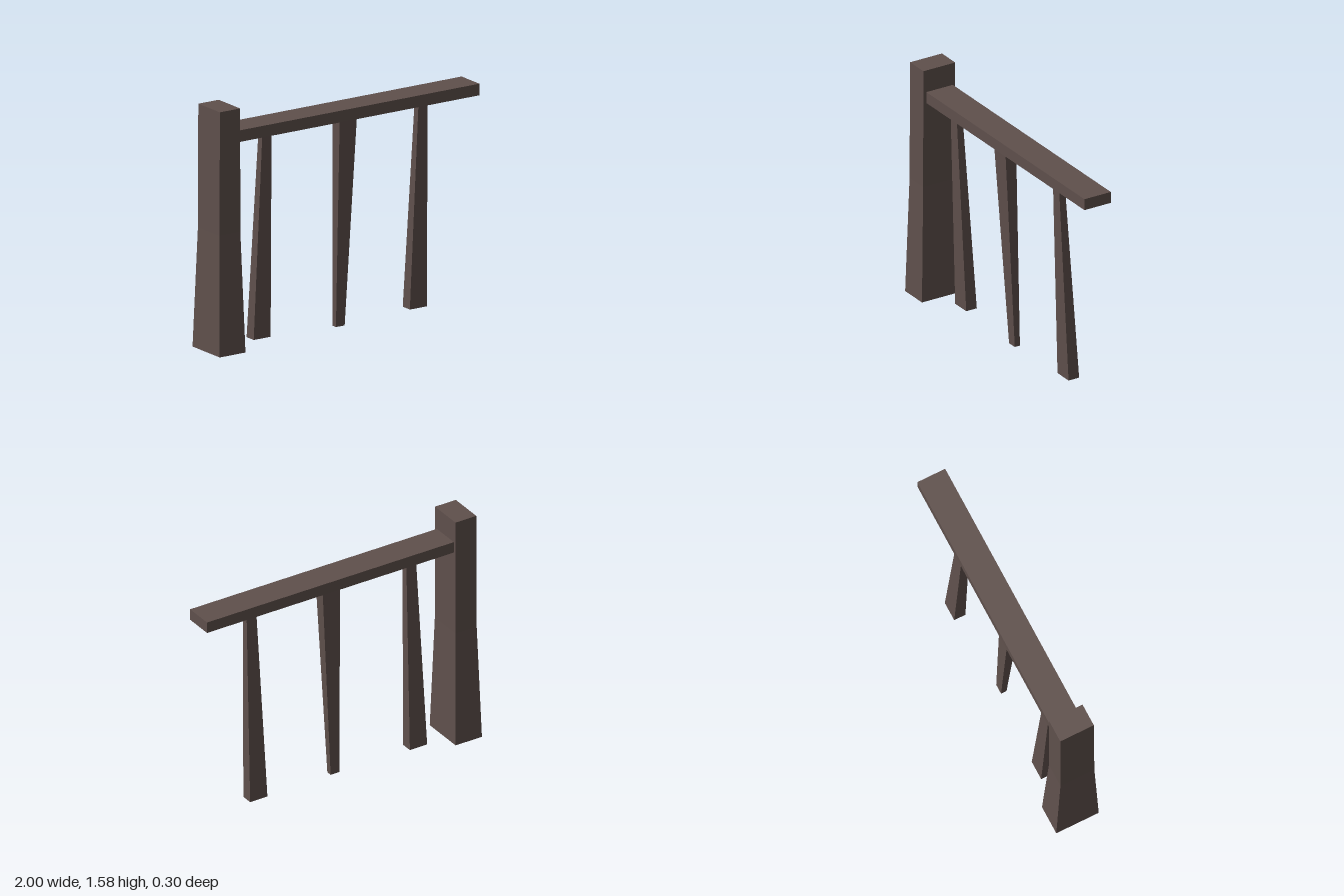
import * as THREE from 'three';

const wood = new THREE.MeshStandardMaterial({ color: 0x5f504c, flatShading: true });

// Lofts a closed solid through rectangular sections [y, x0, x1, z0, z1], bottom to top.
function loft(name, sections) {
  const pos = [], idx = [];
  for (const [y, x0, x1, z0, z1] of sections) {
    pos.push(x0, y, z1, x1, y, z1, x1, y, z0, x0, y, z0);
  }
  for (let s = 0; s < sections.length - 1; s++) {
    for (let i = 0; i < 4; i++) {
      const a = s * 4 + i, b = s * 4 + (i + 1) % 4;
      idx.push(a, b, b + 4, a, b + 4, a + 4);
    }
  }
  const t = (sections.length - 1) * 4;
  idx.push(0, 2, 1, 0, 3, 2, t, t + 1, t + 2, t, t + 2, t + 3);
  const indexed = new THREE.BufferGeometry();
  indexed.setAttribute('position', new THREE.Float32BufferAttribute(pos, 3));
  indexed.setIndex(idx);
  const geo = indexed.toNonIndexed();
  geo.computeVertexNormals();
  const mesh = new THREE.Mesh(geo, wood);
  mesh.name = name;
  return mesh;
}

export function createModel() {
  const group = new THREE.Group();
  group.name = 'fence';

  // End post, flared towards its foot
  group.add(loft('post', [
    [0, -1, -0.805, -0.147, 0.15],
    [0.78, -0.985, -0.828, -0.11, 0.127],
    [1.58, -0.982, -0.828, -0.11, 0.125],
  ]));

  // Flat top rail
  const rail = new THREE.Mesh(new THREE.BoxGeometry(1.84, 0.075, 0.195), wood);
  rail.position.set(0.08, 1.393, 0.006);
  rail.name = 'rail';
  group.add(rail);

  // Outer slats, leaning back at the foot and wider there
  [['outerSlatRight', -0.58], ['outerSlatLeft', 0.603]].forEach(([name, x]) => {
    group.add(loft(name, [
      [0.02, x - 0.064, x + 0.064, -0.07, 0.008],
      [1.36, x - 0.035, x + 0.035, 0.017, 0.06],
    ]));
  });

  // Middle slat, tapering the other way
  group.add(loft('middleSlat', [
    [0, -0.021, 0.045, -0.03, 0.008],
    [1.36, -0.054, 0.076, 0.017, 0.096],
  ]));

  return group;
}
